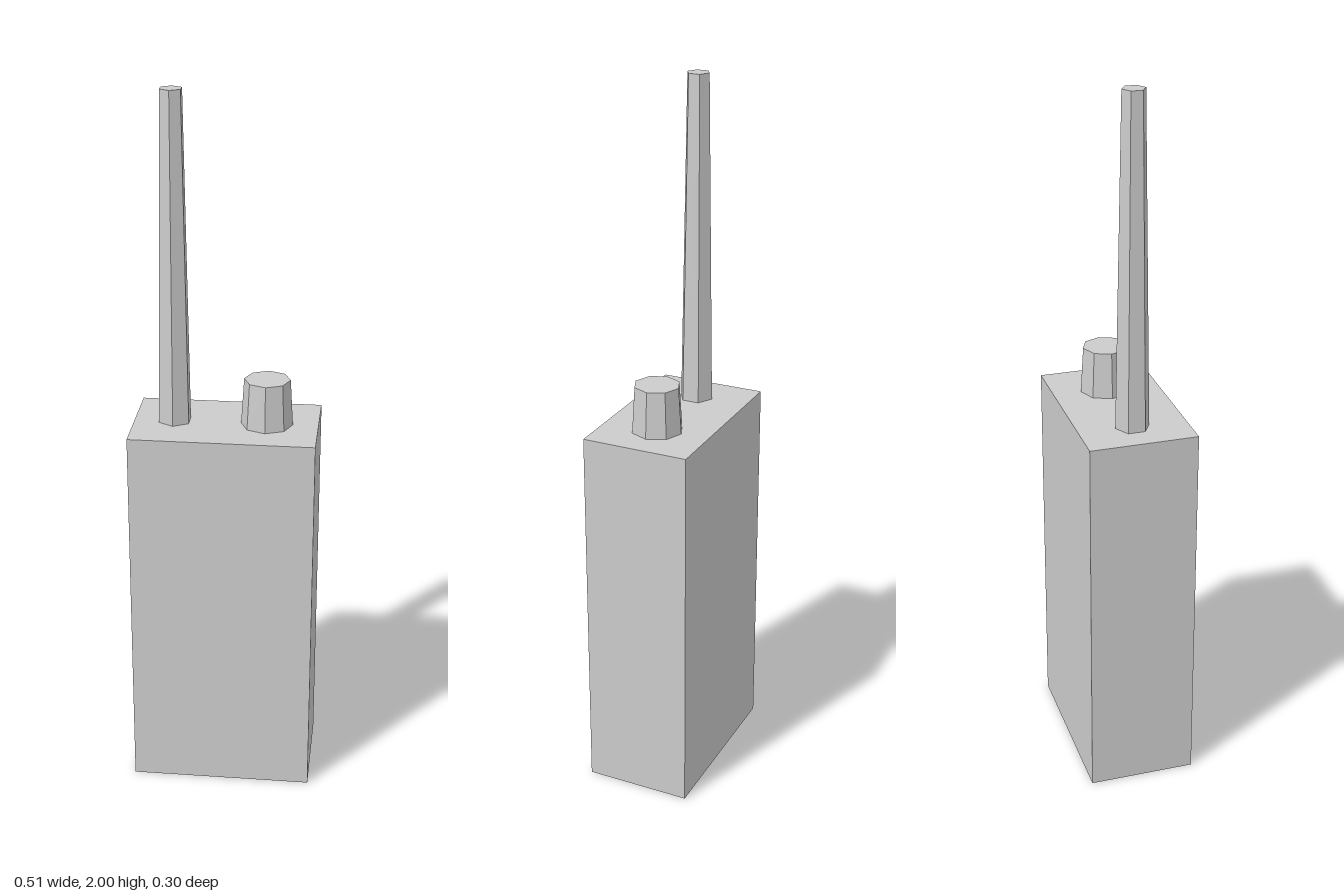
import * as THREE from 'three';

export function createModel() {
  const group = new THREE.Group();
  const casing = new THREE.MeshStandardMaterial({ color: 0xcccccc, flatShading: true });
  casing.name = 'grey casing';

  const bodyHeight = 1.08;

  function add(name, geometry, x, y) {
    const mesh = new THREE.Mesh(geometry, casing);
    mesh.name = name;
    mesh.position.set(x, y, 0);
    group.add(mesh);
  }

  // Tapered faceted post standing on top of the body
  function addPost(name, x, topRadius, bottomRadius, topY, sides) {
    const height = topY - bodyHeight;
    add(name, new THREE.CylinderGeometry(topRadius, bottomRadius, height, sides), x, bodyHeight + height / 2);
  }

  add('body', new THREE.BoxGeometry(0.512, bodyHeight, 0.303), 0, bodyHeight / 2);
  addPost('antenna', -0.144, 0.032, 0.048, 2, 6);
  addPost('knob', 0.113, 0.064, 0.072, 1.212, 8);

  return group;
}
